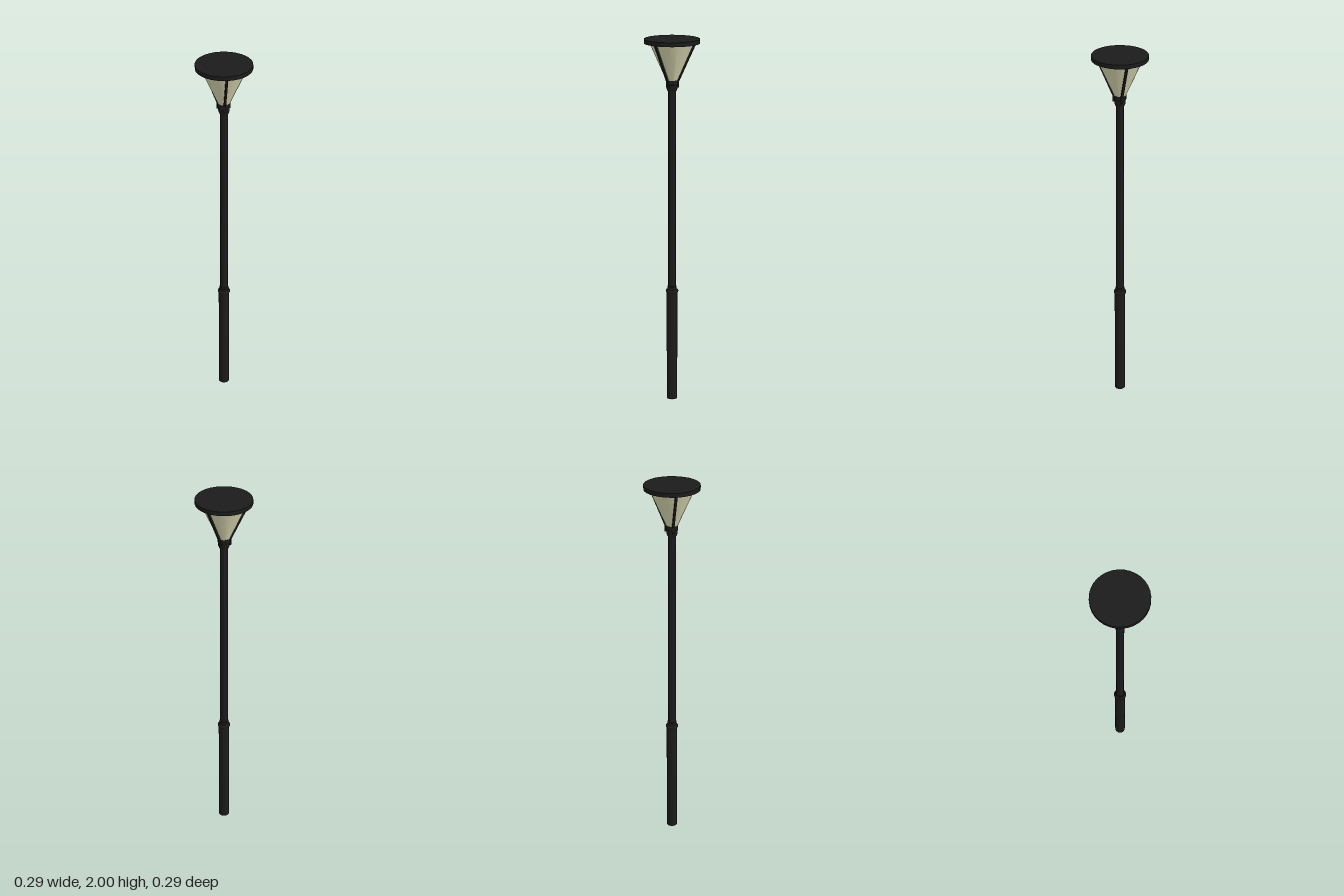
import * as THREE from 'three';
import { toCreasedNormals } from 'three/addons/utils/BufferGeometryUtils.js';

const black = new THREE.MeshStandardMaterial({ color: 0x1c1c1c });
const cream = new THREE.MeshStandardMaterial({ color: 0xe6e4bc, side: THREE.DoubleSide });

// Turned part from [radius, height] pairs, listed bottom to top
function turned(name, profile, material = black) {
  const points = profile.map(([r, y]) => new THREE.Vector2(r, y));
  const geometry = toCreasedNormals(new THREE.LatheGeometry(points, 32), 0.6);
  const mesh = new THREE.Mesh(geometry, material);
  mesh.name = name;
  return mesh;
}

export function createModel() {
  const lamp = new THREE.Group();
  lamp.name = 'streetLamp';

  // Thick lower column with a rounded lip
  lamp.add(turned('baseColumn', [[0, 0], [0.029, 0], [0.029, 0.622], [0, 0.622]]));
  lamp.add(turned('baseRing', [
    [0, 0.622], [0.031, 0.622], [0.034, 0.627], [0.034, 0.632], [0.031, 0.637],
    [0.025, 0.64], [0.025, 0.655], [0.021, 0.66], [0, 0.66],
  ]));

  // Slim pole
  lamp.add(turned('pole', [[0, 0.65], [0.021, 0.65], [0.021, 1.74], [0, 1.74]]));

  // Stepped collar holding the lantern
  lamp.add(turned('collar', [
    [0, 1.73], [0.024, 1.73], [0.029, 1.745], [0.029, 1.763],
    [0.032, 1.765], [0.032, 1.787], [0, 1.787],
  ]));

  // Tapered diffuser
  lamp.add(turned('diffuser', [[0.028, 1.78], [0.117, 1.98]], cream));

  // Three flat ribs, each with a short foot beside the collar
  const outline = new THREE.Shape([
    [0.026, 1.75], [0.037, 1.75], [0.037, 1.78], [0.128, 1.98], [0.112, 1.98], [0.026, 1.785],
  ].map(([r, y]) => new THREE.Vector2(r, y)));
  const ribGeometry = new THREE.ExtrudeGeometry(outline, { depth: 0.012, bevelEnabled: false });
  ribGeometry.translate(0, 0, -0.006);
  for (const degrees of [45, 165, 285]) {
    const rib = new THREE.Mesh(ribGeometry, black);
    rib.name = 'lanternRib';
    rib.rotation.y = -THREE.MathUtils.degToRad(degrees);
    lamp.add(rib);
  }

  // Flat disc cap
  lamp.add(turned('cap', [[0, 1.978], [0.145, 1.978], [0.145, 2], [0, 2]]));

  return lamp;
}
